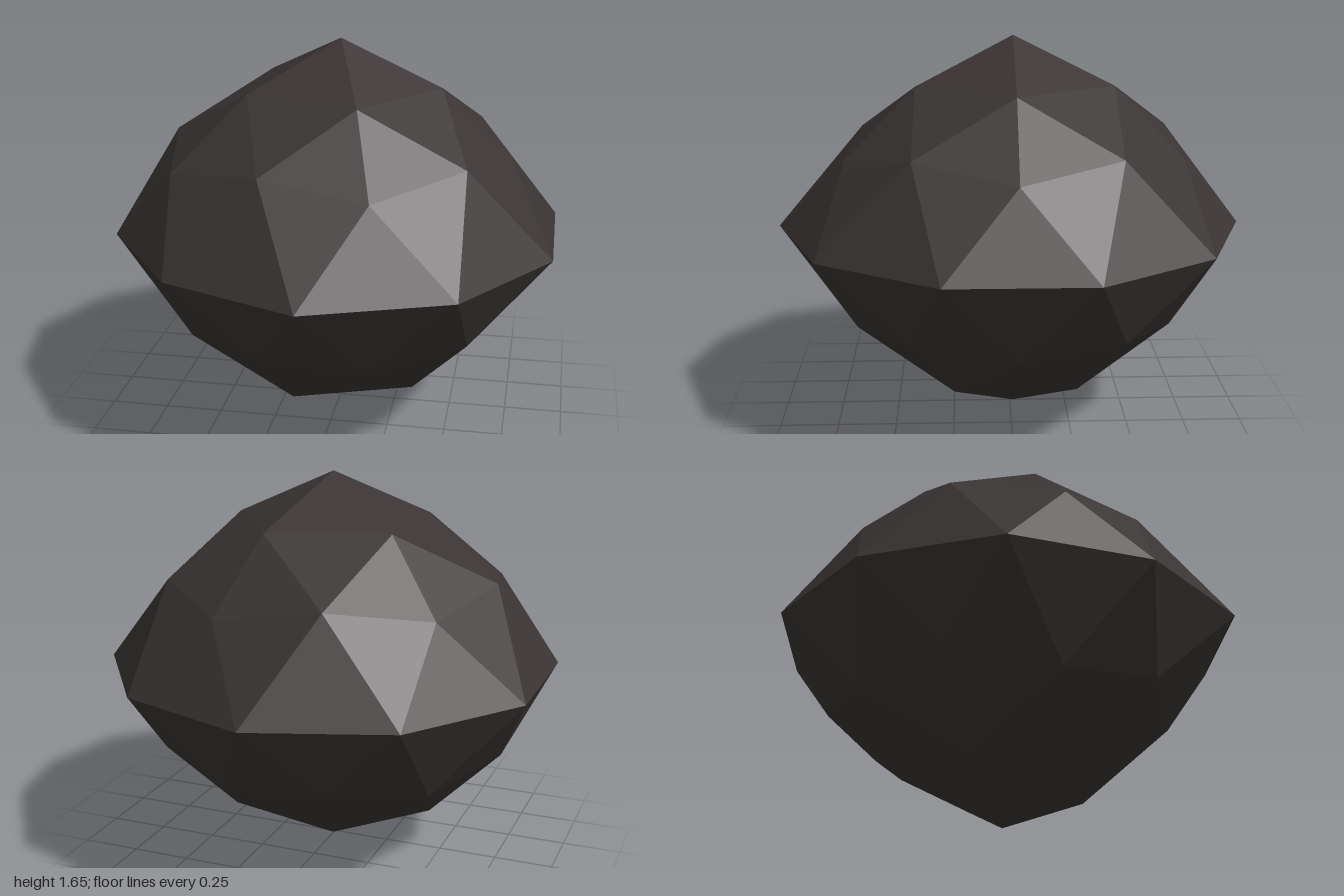
import * as THREE from 'three';

const MID_Y = 0.83; // height of the widest ring
const AXIS_Z = -0.015; // the poles sit slightly behind the centre

// A ring of points around the axis, one radius per point, starting at an angle in degrees
function ring(radii, start, heights) {
  return radii.map((r, i) => {
    const a = THREE.MathUtils.degToRad(start + (360 / radii.length) * i);
    return [r * Math.cos(a), heights[i % heights.length], AXIS_Z + r * Math.sin(a)];
  });
}

const girdle = ring(
  [0.972, 0.992, 1.015, 0.972, 0.972, 0.972, 0.973, 0.985, 0.973, 0.972], 18, [MID_Y]);

// Half of the faceted stone: pole, ring of 5, ring of 10, then the shared girdle
function half({ pole, inner, outer, shift, flip }) {
  const out = [];
  const at = (list, i) => list[(i + list.length) % list.length];
  const tri = (a, b, c) => out.push(...a, ...(flip ? b : c), ...(flip ? c : b));
  for (let k = 0; k < 5; k++) {
    const a = at(inner, k), next = at(inner, k + 1);
    const corner = at(outer, 2 * k), mid = at(outer, 2 * k + 1), corner2 = at(outer, 2 * k + 2);
    tri(pole, a, next);
    tri(a, corner, mid);
    tri(a, mid, next);
    tri(next, mid, corner2);
  }
  for (let j = 0; j < 10; j++) {
    const c = at(girdle, j + shift);
    tri(at(outer, j), c, at(outer, j + 1));
    tri(at(outer, j), at(girdle, j + shift - 1), c);
  }
  const geo = new THREE.BufferGeometry();
  geo.setAttribute('position', new THREE.Float32BufferAttribute(out, 3));
  geo.computeVertexNormals(); // unshared corners give flat facets
  return geo;
}

export function createModel() {
  const group = new THREE.Group();
  group.name = 'stone';
  const rock = new THREE.MeshStandardMaterial({ color: 0x3a3534, flatShading: true });
  rock.name = 'dark rock';

  const upper = new THREE.Mesh(half({
    pole: [0, 1.652, AXIS_Z],
    inner: ring([0.43, 0.432, 0.43, 0.43, 0.44], 0, [1.455]),
    outer: ring([0.73, 0.708, 0.74, 0.695, 0.77, 0.72, 0.73, 0.72, 0.74, 0.708], 0, [1.165, 1.23]),
    shift: 0,
    flip: false,
  }), rock);
  upper.name = 'upperHalf';

  const lower = new THREE.Mesh(half({
    pole: [0, 0, AXIS_Z],
    inner: ring([0.44, 0.435, 0.45, 0.42, 0.44], 36, [0.19, 0.18, 0.18, 0.205, 0.195]),
    outer: ring([0.74, 0.705, 0.75, 0.705, 0.76, 0.705, 0.74, 0.7, 0.74, 0.69], 36, [0.487, 0.435]),
    shift: 1,
    flip: true,
  }), rock);
  lower.name = 'lowerHalf';

  group.add(upper, lower);
  return group;
}
